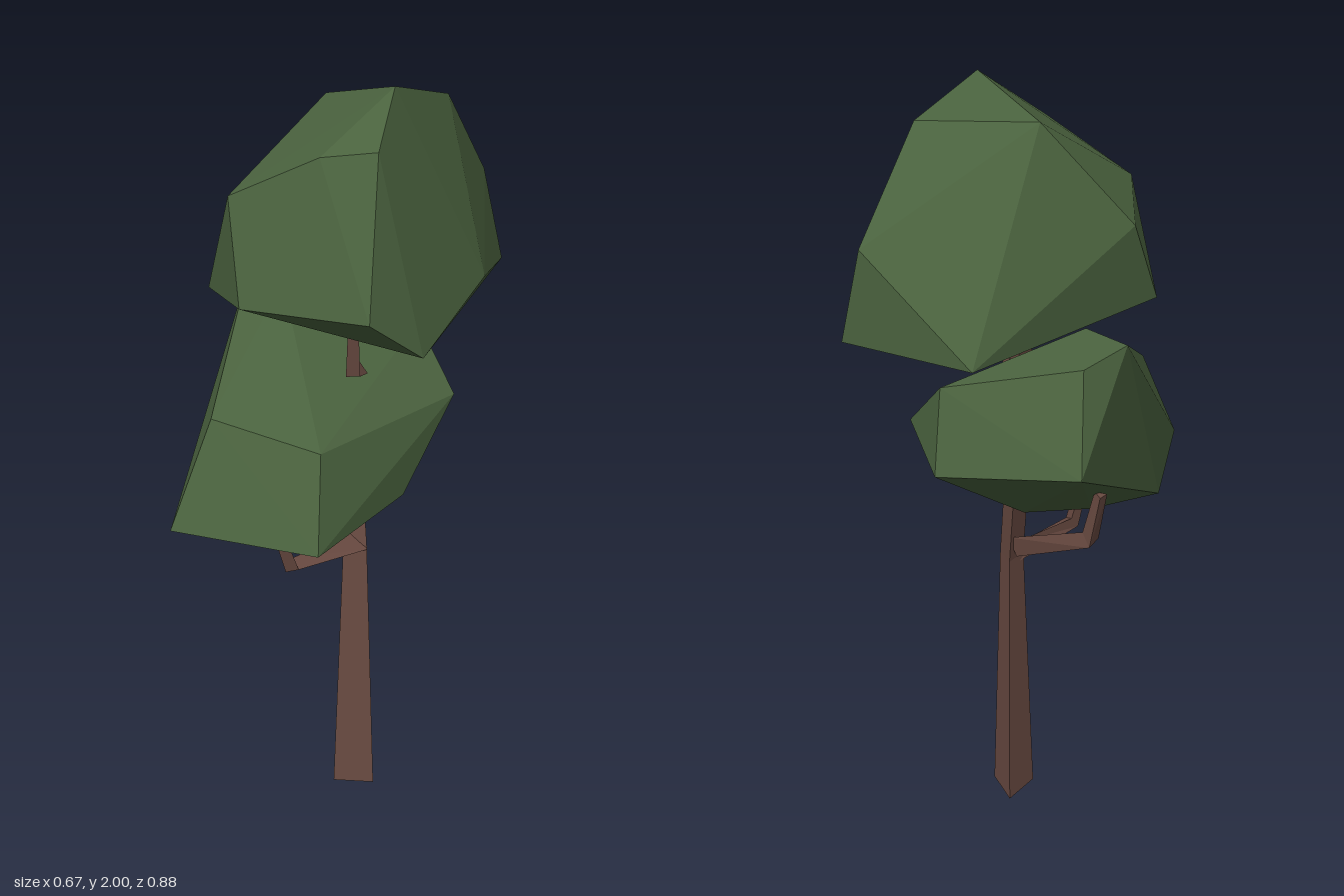
import * as THREE from 'three';
import { ConvexGeometry } from 'three/addons/geometries/ConvexGeometry.js';

const SIDES = 3;

// Tapered three-sided limb through [x, y, z, radius] stations, with capped ends
function limbGeometry(stations) {
  const pts = stations.map(([x, y, z]) => new THREE.Vector3(x, y, z));
  const rings = pts.map((p, i) => {
    const t = new THREE.Vector3();
    if (i > 0) t.add(p.clone().sub(pts[i - 1]).normalize());
    if (i < pts.length - 1) t.add(pts[i + 1].clone().sub(p).normalize());
    t.normalize();
    const u = new THREE.Vector3(1, 0, 0);
    u.addScaledVector(t, -u.dot(t)).normalize();
    const v = new THREE.Vector3().crossVectors(t, u);
    const ring = [];
    for (let k = 0; k < SIDES; k++) {
      const a = -0.35 + (k / SIDES) * Math.PI * 2;
      ring.push(p.clone()
        .addScaledVector(u, Math.cos(a) * stations[i][3])
        .addScaledVector(v, Math.sin(a) * stations[i][3]));
    }
    return ring;
  });

  const tris = [];
  for (let i = 0; i < rings.length - 1; i++) {
    for (let k = 0; k < SIDES; k++) {
      const n = (k + 1) % SIDES;
      const [a, b, c, d] = [rings[i][k], rings[i][n], rings[i + 1][n], rings[i + 1][k]];
      tris.push(a, b, c, a, c, d);
    }
  }
  const first = rings[0], last = rings[rings.length - 1];
  tris.push(first[0], first[2], first[1], last[0], last[1], last[2]);

  const geometry = new THREE.BufferGeometry().setFromPoints(tris);
  geometry.computeVertexNormals();
  return geometry;
}

// Faceted leaf mass wrapped around a few corner points
function crownGeometry(corners) {
  return new ConvexGeometry(corners.map((c) => new THREE.Vector3(...c)));
}

export function createModel() {
  const bark = new THREE.MeshStandardMaterial({ color: 0x6a4b42, flatShading: true });
  bark.name = 'bark brown';
  const leaf = new THREE.MeshStandardMaterial({ color: 0x4a623e, flatShading: true });
  leaf.name = 'leaf green';

  const tree = new THREE.Group();
  tree.name = 'tree';
  const add = (name, geometry, material) => {
    const mesh = new THREE.Mesh(geometry, material);
    mesh.name = name;
    tree.add(mesh);
  };

  // Trunk and branches
  const limbs = {
    trunk: [[0.02, 0, 0.01, 0.065], [0.02, 0.76, 0.002, 0.036],
      [-0.003, 1.0, -0.03, 0.036], [-0.03, 1.45, -0.07, 0.03]],
    lowerFrontBranch: [[0.03, 0.76, 0, 0.032], [-0.095, 0.78, 0.2, 0.024], [-0.14, 1.0, 0.26, 0.012]],
    lowerBackBranch: [[0, 0.8, -0.01, 0.032], [-0.235, 0.93, -0.165, 0.026], [-0.26, 1.06, -0.17, 0.018]],
    upperFrontBranch: [[-0.01, 1.24, -0.03, 0.028], [0.04, 1.28, 0.05, 0.024],
      [0.05, 1.31, 0.145, 0.02], [0.06, 1.5, 0.18, 0.012]],
  };
  for (const [name, stations] of Object.entries(limbs)) add(name, limbGeometry(stations), bark);

  // Lower crown
  add('lowerCrown', crownGeometry([
    [-0.25, 1.235, 0.33], [0.02, 1.175, 0.33], [-0.325, 0.98, 0.44], [0.04, 0.955, 0.43],
    [-0.337, 0.908, 0.18], [0.17, 0.975, 0.105], [0.252, 1.17, -0.107], [0.12, 1.115, -0.3],
    [-0.26, 1.185, -0.365], [-0.23, 1.41, -0.245], [-0.302, 1.43, -0.11], [-0.19, 1.447, -0.07],
    [0.13, 1.315, -0.22], [-0.2, 0.935, -0.01], [-0.04, 0.935, -0.08],
  ]), leaf);

  // Upper crown
  add('upperCrown', crownGeometry([
    [0.142, 2.0, 0.135], [0.21, 1.93, -0.13], [-0.072, 1.93, -0.065], [0.142, 1.89, 0.283],
    [0.01, 1.87, 0.283], [-0.225, 1.75, 0.225], [-0.282, 1.68, 0.025], [-0.325, 1.48, 0.105],
    [-0.165, 1.525, 0.345], [0.162, 1.55, 0.435], [0.258, 1.44, 0.32], [0.335, 1.53, -0.005],
    [0.32, 1.46, -0.355], [0.262, 1.69, -0.368], [-0.025, 1.455, -0.44], [0.16, 1.33, 0.02],
  ]), leaf);

  return tree;
}
